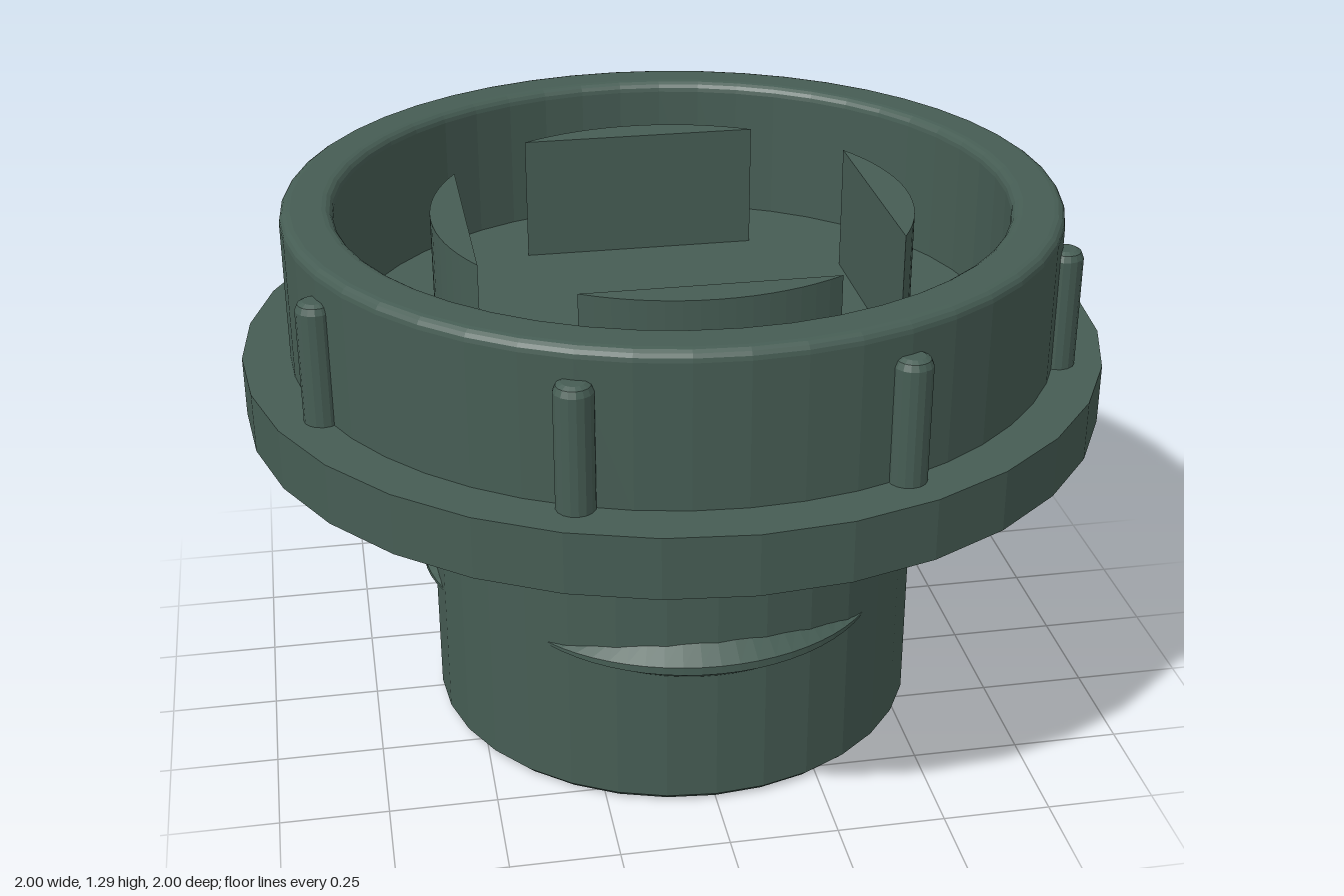
import * as THREE from 'three';

const material = new THREE.MeshStandardMaterial({ color: 0x465d54, flatShading: true });

function add(parent, name, geometry) {
  const mesh = new THREE.Mesh(geometry, material);
  mesh.name = name;
  parent.add(mesh);
  return mesh;
}

// Turned part from [radius, height] pairs, counter-clockwise
const lathe = (points, sides) =>
  new THREE.LatheGeometry(points.map(([r, y]) => new THREE.Vector2(r, y)), sides);

// Tapered thread ridge wrapped around the tube, centred on +z
function threadGeometry() {
  const steps = 20, span = 0.68, tubeR = 0.57;
  const positions = [], index = [];
  for (let i = 0; i <= steps; i++) {
    const t = (i / steps) * 2 - 1;
    const w = 1 - t * t;
    const half = 0.004 + 0.05 * w;
    const flat = 0.003 + 0.007 * w;
    const crest = 0.583 + 0.047 * w;
    for (const [r, y] of [[tubeR, -half], [crest, -flat], [crest, flat], [tubeR, half]])
      positions.push(r * Math.sin(t * span), y, r * Math.cos(t * span));
  }
  for (let i = 0; i < steps; i++)
    for (let j = 0; j < 3; j++) {
      const a = i * 4 + j, b = a + 4;
      index.push(a, b, b + 1, a, b + 1, a + 1);
    }
  const e = steps * 4;
  index.push(0, 1, 2, 0, 2, 3, e, e + 2, e + 1, e, e + 3, e + 2);
  const g = new THREE.BufferGeometry();
  g.setAttribute('position', new THREE.Float32BufferAttribute(positions, 3));
  g.setIndex(index);
  g.computeVertexNormals();
  return g;
}

// Wedge with a pointed inner end and an arched outer face
function wedgeGeometry(height) {
  const radius = 0.554, half = 0.54;
  const shape = new THREE.Shape();
  shape.moveTo(0, -0.17);
  shape.absarc(0, 0, radius, -Math.PI / 2 - half, -Math.PI / 2 + half, false);
  shape.closePath();
  return new THREE.ExtrudeGeometry(shape, { depth: height, bevelEnabled: false, curveSegments: 8 })
    .rotateX(-Math.PI / 2);
}

export function createModel() {
  const model = new THREE.Group();
  model.name = 'threadedPlug';

  // Hollow lower tube, open at the bottom
  add(model, 'tube', lathe([
    [0, 0.82], [0.48, 0.82], [0.48, 0], [0.57, 0], [0.585, 0.015], [0.585, 0.81],
  ], 32));

  // Wide flange, closed on top by the cup floor
  add(model, 'flange', lathe([[0.5, 0.8], [1, 0.8], [1, 0.94], [0.8, 0.94]], 32));
  add(model, 'cupFloor', lathe([[0.8, 0.95], [0, 0.95]], 32));

  // Collar wall with a rounded rim
  const collar = [[0.89, 0.93]];
  const round = 0.025, top = 1.29;
  for (const [centre, start] of [[0.89 - round, 0], [0.77 + round, Math.PI / 2]])
    for (let i = 0; i <= 4; i++) {
      const a = start + (i / 4) * Math.PI / 2;
      collar.push([centre + round * Math.cos(a), top - round + round * Math.sin(a)]);
    }
  collar.push([0.77, 0.93]);
  add(model, 'collar', lathe(collar, 48));

  // Grip ribs around the collar
  const ribProfile = [[0.042, 0.93], [0.042, 1.2], [0.036, 1.214], [0.025, 1.22], [0, 1.22]];
  const rib = lathe(ribProfile, 16);
  for (let i = 0; i < 8; i++) {
    const a = (i + 0.5) * Math.PI / 4;
    add(model, 'gripRib', rib).position.set(0.895 * Math.sin(a), 0, 0.895 * Math.cos(a));
  }

  // Four wedges standing on the cup floor
  const wedge = wedgeGeometry(0.31);
  for (let i = 0; i < 4; i++) {
    const mesh = add(model, 'wedge', wedge);
    mesh.position.y = 0.94;
    mesh.rotation.y = i * Math.PI / 2;
  }

  // Three thread ridges stepping up around the tube
  const thread = threadGeometry();
  [0.333, 0.385, 0.437].forEach((y, i) => {
    const mesh = add(model, 'threadRidge', thread);
    mesh.position.y = y;
    mesh.rotation.y = (i - 1) * Math.PI * 2 / 3;
  });

  return model;
}
